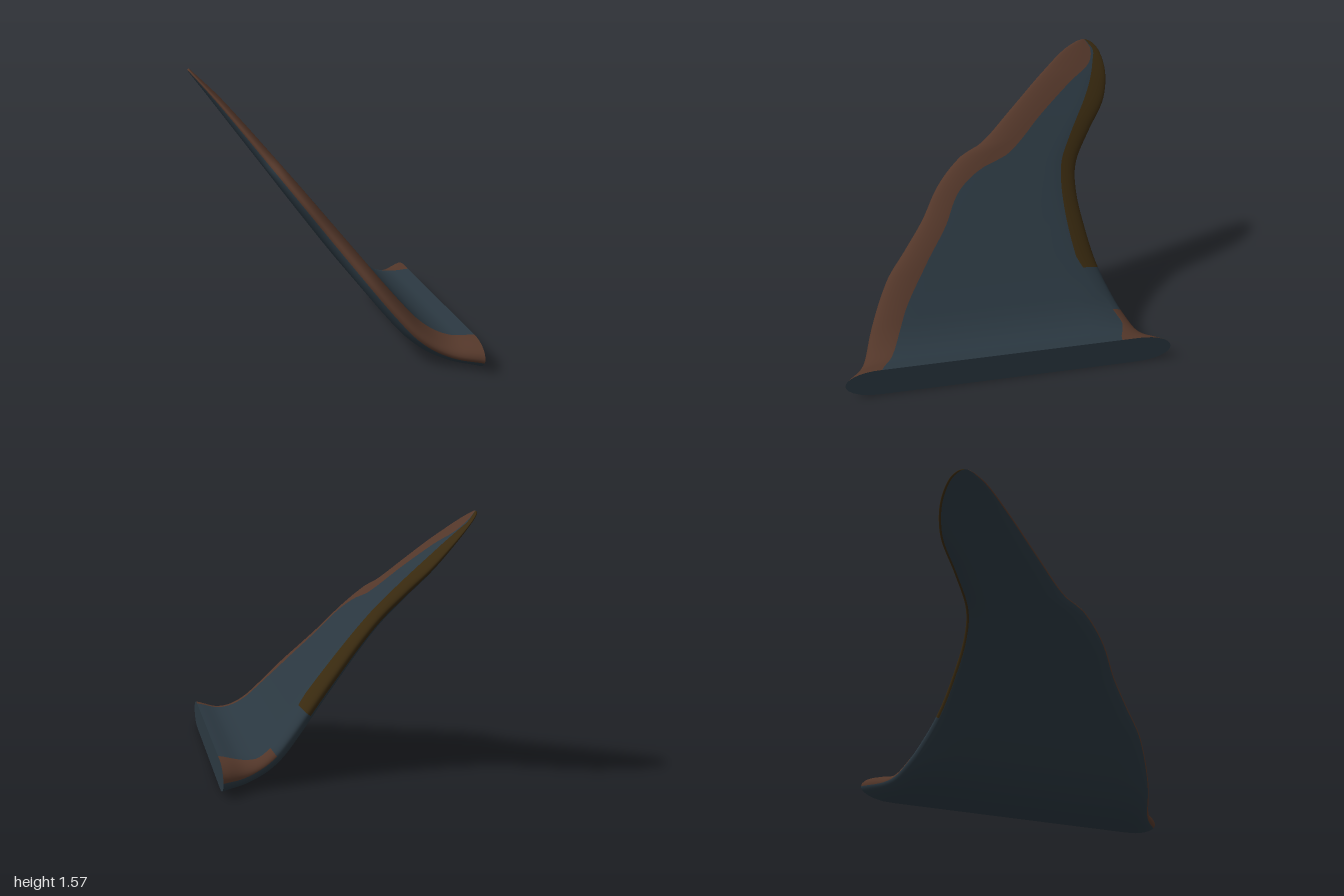
import * as THREE from 'three';

// Profiles as [x, value], running from the root (x = 0.73) to the tip
const midHeight = [[0.73, 0.091], [0.6, 0.088], [0.49, 0.122], [0.39, 0.19], [0.3, 0.285], [0.2, 0.405],
  [0.046, 0.6], [-0.18, 0.89], [-0.545, 1.355], [-0.735, 1.572]];
const halfThick = [[0.73, 0.083], [0.6, 0.071], [0.4, 0.064], [0.2, 0.06], [0.046, 0.057], [-0.18, 0.05],
  [-0.545, 0.03], [-0.735, 0.008]];
const frontEdge = [[0.73, 1], [0.56, 0.875], [0.35, 0.78], [0.164, 0.645], [0.06, 0.515], [-0.05, 0.38],
  [-0.18, 0.25], [-0.286, 0.08], [-0.33, -0.06], [-0.444, -0.265], [-0.6, -0.53], [-0.69, -0.69],
  [-0.725, -0.785], [-0.735, -0.84]];
const backEdge = [[0.73, -1], [0.56, -0.86], [0.43, -0.8], [0.2, -0.685], [0.03, -0.64], [-0.11, -0.625],
  [-0.22, -0.655], [-0.34, -0.77], [-0.444, -0.885], [-0.52, -0.93], [-0.6, -0.945], [-0.68, -0.925],
  [-0.72, -0.885], [-0.735, -0.84]];
const frontBand = [[0.73, 0.78], [0.59, 0.71], [0.31, 0.575], [0.125, 0.4], [-0.01, 0.25], [-0.14, 0.135],
  [-0.22, -0.02], [-0.27, -0.21], [-0.42, -0.47], [-0.54, -0.69], [-0.61, -0.83], [-0.68, -0.87],
  [-0.735, -0.84]];
const backBand = [[0.73, -0.69], [0.4, -0.76], [0.3, -0.63], [0.2, -0.575], [0.16, -0.545], [-0.05, -0.52],
  [-0.21, -0.545], [-0.31, -0.62], [-0.47, -0.77], [-0.55, -0.83], [-0.63, -0.87], [-0.68, -0.885],
  [-0.735, -0.84]];

// Smooth interpolation of a profile at x
function at(p, x) {
  let i = 0;
  while (i < p.length - 2 && x < p[i + 1][0]) i++;
  const slope = (k) => {
    const a = p[Math.max(k - 1, 0)], b = p[Math.min(k + 1, p.length - 1)];
    return (b[1] - a[1]) / (b[0] - a[0]);
  };
  const [x0, y0] = p[i], [x1, y1] = p[i + 1], h = x1 - x0;
  const s = (x - x0) / h, s2 = s * s, s3 = s2 * s;
  return y0 * (2 * s3 - 3 * s2 + 1) + slope(i) * h * (s3 - 2 * s2 + s)
    + y1 * (3 * s2 - 2 * s3) + slope(i + 1) * h * (s3 - s2);
}

export function createModel() {
  const group = new THREE.Group();
  group.name = 'curvedFin';
  const make = (name, color) => {
    const m = new THREE.MeshStandardMaterial({ color });
    m.name = name;
    return m;
  };
  const slate = make('slateBlue', 0x2a3740);
  const brown = make('russetBrown', 0x523629);
  const olive = make('darkOlive', 0x38290f);

  // Cross-section rings lofted from root to tip
  const STATIONS = 90, positions = [], rings = [], xs = [];
  let tags = [];
  for (let i = 0; i <= STATIONS; i++) {
    const x = -0.732 + 1.462 * (1 - Math.sin((i / STATIONS) * Math.PI / 2));
    const y = at(midHeight, x), t = at(halfThick, x);
    const zf = at(frontEdge, x), zb = at(backEdge, x), chord = zf - zb;
    const bi = THREE.MathUtils.clamp(at(backBand, x), zb + chord * 0.04, zf - chord * 0.1);
    const fi = THREE.MathUtils.clamp(at(frontBand, x), bi + chord * 0.02, zf - chord * 0.05);
    const e = Math.min(0.012, chord * 0.1), r = Math.min(0.2, chord / 2);

    // Unit normal of the bent centre line
    const dy = (at(midHeight, x - 0.005) - at(midHeight, x + 0.005)) / 0.01;
    const len = Math.hypot(1, dy);
    const nx = i === 0 ? 0 : dy / len, ny = i === 0 ? 1 : 1 / len;

    // [from, to, side, steps, easing, region]
    const runs = [
      [zb, bi, 1, 8, (s) => s * s, 'back'],
      [bi, fi, 1, 14, (s) => s, 'skin'],
      [fi, zf, 1, 8, (s) => 1 - (1 - s) ** 2, 'front'],
      [zf, zf - e, -1, 3, (s) => s * s, 'front'],
      [zf - e, zb + e, -1, 24, (s) => (1 - Math.cos(Math.PI * s)) / 2, 'skin'],
      [zb + e, zb, -1, 3, (s) => 1 - (1 - s) ** 2, 'backUnder'],
    ];
    const ring = [];
    tags = [];
    for (const [a, b, side, steps, ease, tag] of runs) {
      for (let k = 0; k < steps; k++) {
        const z = a + (b - a) * ease(k / steps);
        const d = THREE.MathUtils.clamp(Math.min(z - zb, zf - z) / r, 0, 1);
        const h = side * t * Math.sqrt(1 - (1 - d) ** 2);
        ring.push([x + nx * h, y + ny * h, z]);
        tags.push(tag);
      }
    }
    rings.push(ring);
    xs.push(x);
    positions.push(...ring.flat());
  }

  // Sort the faces into painted regions
  const parts = { finSkin: [], leadingBand: [], trailingBand: [], rootPatch: [] };
  const all = [], n = tags.length;
  const partOf = (tag, x) => {
    if (tag === 'front') return 'leadingBand';
    if (tag !== 'skin' && x < 0.2) return 'trailingBand';
    return tag === 'back' && x > 0.4 ? 'rootPatch' : 'finSkin';
  };
  for (let i = 0; i < STATIONS; i++) {
    for (let j = 0; j < n; j++) {
      const a = i * n + j, b = i * n + (j + 1) % n, c = a + n, d = b + n;
      const faces = [a, c, b, b, c, d];
      all.push(...faces);
      parts[partOf(tags[j], (xs[i] + xs[i + 1]) / 2)].push(...faces);
    }
  }

  // All regions share one set of smooth normals
  const whole = new THREE.BufferGeometry();
  whole.setAttribute('position', new THREE.Float32BufferAttribute(positions, 3));
  whole.setIndex(all);
  whole.computeVertexNormals();
  const paint = { finSkin: slate, leadingBand: brown, trailingBand: olive, rootPatch: brown };
  for (const [name, index] of Object.entries(parts)) {
    const g = new THREE.BufferGeometry();
    g.setAttribute('position', whole.getAttribute('position'));
    g.setAttribute('normal', whole.getAttribute('normal'));
    g.setIndex(index);
    const mesh = new THREE.Mesh(g, paint[name]);
    mesh.name = name;
    group.add(mesh);
  }

  // Flat cut face at the root
  const capPoints = [];
  const centre = [xs[0], at(midHeight, xs[0]), 0];
  rings[0].forEach((p, j) => capPoints.push(...centre, ...p, ...rings[0][(j + 1) % n]));
  const capGeometry = new THREE.BufferGeometry();
  capGeometry.setAttribute('position', new THREE.Float32BufferAttribute(capPoints, 3));
  capGeometry.computeVertexNormals();
  const cap = new THREE.Mesh(capGeometry, slate);
  cap.name = 'rootFace';
  group.add(cap);

  return group;
}
